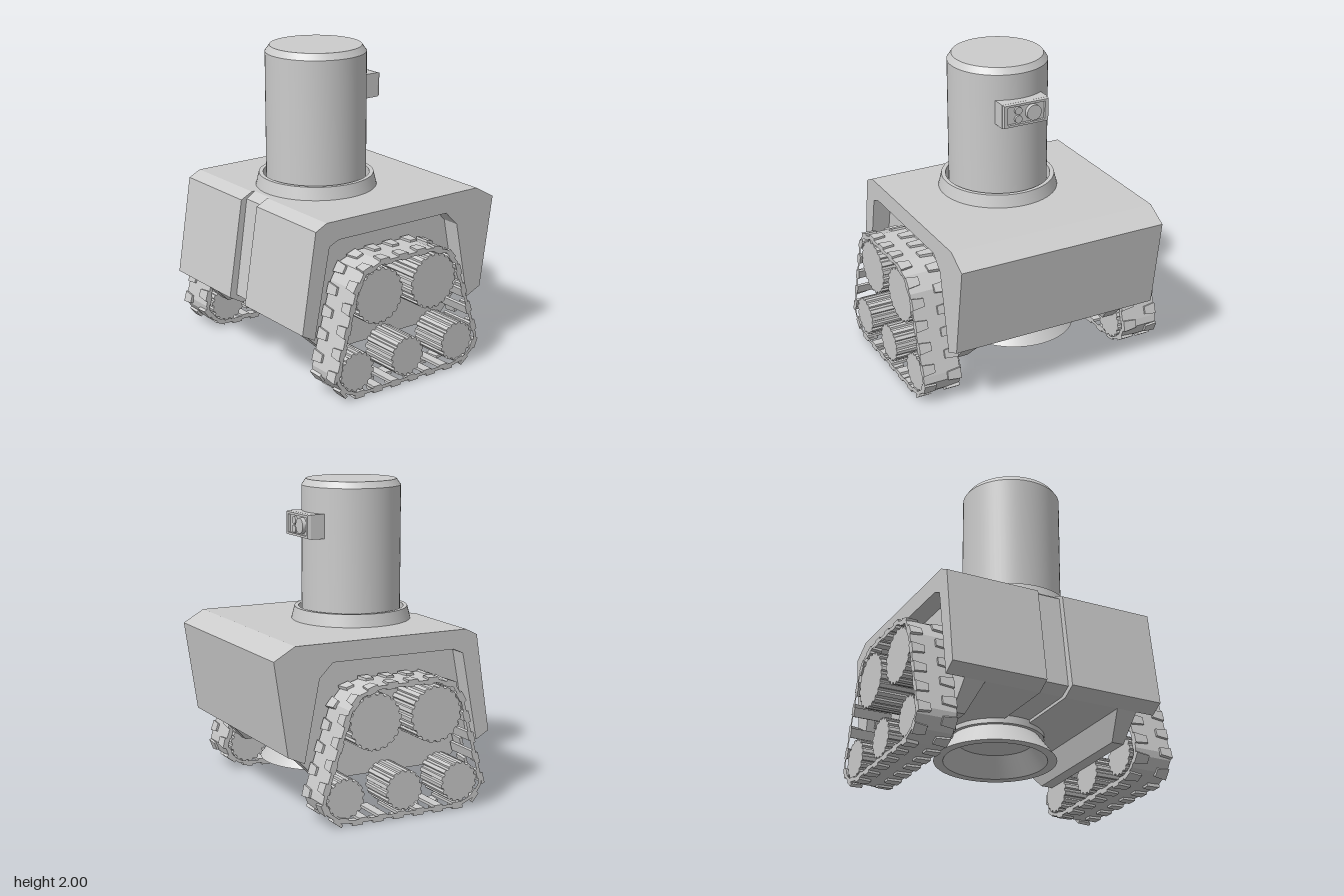
import * as THREE from 'three';
import { toCreasedNormals } from 'three/addons/utils/BufferGeometryUtils.js';

const grey = new THREE.MeshStandardMaterial({ color: 0xcccccc });
const V = (pts) => pts.map(([x, y]) => new THREE.Vector2(x, y));

function add(parent, name, geometry, x = 0, y = 0, z = 0) {
  const mesh = new THREE.Mesh(geometry, grey);
  mesh.name = name;
  mesh.position.set(x, y, z);
  parent.add(mesh);
  return mesh;
}

// Prism of an xy outline (with an optional hole) between two z values
function prism(pts, za, zb, hole) {
  const shape = new THREE.Shape(V(pts));
  if (hole) shape.holes.push(new THREE.Path(V(hole)));
  const depth = Math.abs(zb - za);
  return new THREE.ExtrudeGeometry(shape, { depth, bevelEnabled: false }).translate(0, 0, Math.min(za, zb));
}

const lathe = (pts) => toCreasedNormals(new THREE.LatheGeometry(V(pts), 64), 0.4);

// Move a clockwise closed outline inwards by d
function inset(pts, d) {
  const n = pts.length;
  return pts.map(([x, y], i) => {
    const [ax, ay] = pts[(i + n - 1) % n], [bx, by] = pts[(i + 1) % n];
    const n1 = new THREE.Vector2(y - ay, ax - x).normalize();
    const n2 = new THREE.Vector2(by - y, x - bx).normalize();
    const k = d / (1 + n1.dot(n2));
    return [x + (n1.x + n2.x) * k, y + (n1.y + n2.y) * k];
  });
}

// Toothed wheel outline
function gearOutline(cx, cy, r, teeth) {
  const pts = [];
  for (let i = 0; i < teeth; i++) {
    for (const [f, rr] of [[0, r - 0.012], [0.3, r - 0.012], [0.42, r], [0.88, r]]) {
      const a = ((i + f) / teeth) * Math.PI * 2;
      pts.push([cx + rr * Math.cos(a), cy + rr * Math.sin(a)]);
    }
  }
  return pts;
}

const trackLoop = [
  [-0.622, 0.175], [-0.48, 0.70], [-0.415, 0.81], [-0.28, 0.857], [0.125, 0.857],
  [0.26, 0.815], [0.34, 0.72], [0.51, 0.21], [0.522, 0.16], [0.49, 0.08],
  [0.41, 0.02], [0.30, 0], [-0.45, 0], [-0.565, 0.05], [-0.617, 0.125],
];
const wheels = [
  [-0.278, 0.62, 0.178, 20], [0.145, 0.62, 0.178, 20],
  [-0.447, 0.17, 0.127, 16], [-0.055, 0.17, 0.127, 16], [0.347, 0.17, 0.127, 16],
];

function createTrack(side) {
  const track = new THREE.Group();
  add(track, 'belt', prism(inset(trackLoop, 0.014), side * 0.60, side * 0.85, inset(trackLoop, 0.036)));
  for (const [x, y, r, teeth] of wheels) {
    add(track, 'wheel', prism(gearOutline(x, y, r, teeth), side * 0.58, side * 0.84));
  }

  // Tapered tread pads along both edges, half a pitch apart, plus teeth inside
  const path = new THREE.Path(V([...trackLoop, trackLoop[0]]));
  const innerLoop = inset(trackLoop, 0.034);
  const innerPath = new THREE.Path(V([...innerLoop, innerLoop[0]]));
  const padGeometry = (edge, tip) => prism(
    [[-0.036, edge], [0.036, edge], [0.026, tip], [-0.026, tip]], 0, 0.02).rotateX(Math.PI / 2);
  const rows = [
    ['treadPad', path, padGeometry(side * 0.85, side * 0.77), 0],
    ['treadPad', path, padGeometry(side * 0.60, side * 0.69), 0.5],
    ['innerTooth', innerPath, new THREE.BoxGeometry(0.06, 0.018, 0.25).translate(0, 0, side * 0.725), 0.25],
  ];
  const count = 24;
  for (const [name, curve, geometry, shift] of rows) {
    for (let i = 0; i < count; i++) {
      const u = (i + shift) / count;
      const p = curve.getPointAt(u), t = curve.getTangentAt(u);
      add(track, name, geometry, p.x, p.y).rotation.z = Math.atan2(t.y, t.x);
    }
  }
  return track;
}

function createBody() {
  const body = new THREE.Group();
  body.name = 'body';
  const outline = [
    [-0.66, 0.38], [-0.75, 0.43], [-0.65, 1.06], [-0.57, 1.10],
    [0.61, 1.10], [0.75, 1.02], [0.66, 0.43], [0.55, 0.38],
  ];
  const well = [[0.45, 0.89], [0.36, 0.98], [-0.48, 0.98], [-0.55, 0.95]];
  // Middle strip is set back to form the rear slot
  add(body, 'middleStrip', prism([
    [-0.62, 0.40], [-0.70, 0.44], [-0.61, 1.06], [-0.55, 1.10],
    [0.61, 1.10], [0.75, 1.02], [0.66, 0.43], [0.55, 0.40],
  ], -0.085, 0.085));
  for (const s of [1, -1]) {
    add(body, 'hullHalf', prism(outline, s * 0.085, s * 0.58));
    add(body, 'wheelArch', prism([...outline, ...well], s * 0.58, s * 0.70));

    // Lower skirt whose inner face slopes outwards towards the bottom
    const skirt = prism([[-0.66, 0.38], [0.55, 0.38], [0.40, 0.225], [-0.50, 0.225]], s * 0.447, s * 0.58);
    const p = skirt.attributes.position;
    for (let i = 0; i < p.count; i++) {
      if (p.getY(i) < 0.3 && Math.abs(p.getZ(i)) < 0.5) p.setZ(i, s * 0.50);
    }
    skirt.computeVertexNormals();
    add(body, 'skirt', skirt);
  }
  return body;
}

function createSensor() {
  const sensor = new THREE.Group();
  sensor.name = 'sensor';
  add(sensor, 'housing', new THREE.BoxGeometry(0.095, 0.155, 0.32), 0.1875, 1.72, 0);
  // Raised frame around the lenses, tapering towards its front
  const rect = (w, h) => [[-w, -h], [w, -h], [w, h], [-w, h]];
  const frame = prism(rect(0.16, 0.0775), 0, 0.02, rect(0.13, 0.058));
  const p = frame.attributes.position;
  for (let i = 0; i < p.count; i++) {
    if (p.getZ(i) > 0.01 && Math.abs(p.getX(i)) > 0.15) {
      p.setX(i, p.getX(i) * 0.95);
      p.setY(i, p.getY(i) * 0.93);
    }
  }
  frame.computeVertexNormals();
  add(sensor, 'frame', frame.rotateY(Math.PI / 2), 0.233, 1.72, 0);
  for (const [y, z, r, out] of [[1.72, -0.05, 0.05, 0.262], [1.745, 0.052, 0.025, 0.25], [1.69, 0.052, 0.025, 0.25]]) {
    const lens = new THREE.CylinderGeometry(r, r, out - 0.2, 32).rotateZ(-Math.PI / 2);
    add(sensor, 'lens', lens, (out + 0.2) / 2, y, z);
  }
  return sensor;
}

export function createModel() {
  const model = new THREE.Group();
  model.name = 'trackedRobot';
  model.add(createBody());

  for (const [side, name] of [[1, 'frontTrack'], [-1, 'backTrack']]) {
    const track = createTrack(side);
    track.name = name;
    model.add(track);
  }

  // Tower with bevelled lid, standing inside a sloped collar
  add(model, 'tower', lathe([[0, 1.09], [0.318, 1.09], [0.318, 1.96], [0.29, 2], [0, 2]]), -0.133);
  add(model, 'collar', lathe([[0.385, 1.10], [0.365, 1.18], [0.338, 1.18], [0.332, 1.10]]), -0.133);
  model.add(createSensor());

  // Hollow funnel below the hull
  add(model, 'funnel', lathe([
    [0, 0.34], [0.24, 0.34], [0.33, 0.21], [0.39, 0.21], [0.285, 0.35], [0.31, 0.35], [0.31, 0.41],
  ]), 0.09);
  return model;
}
